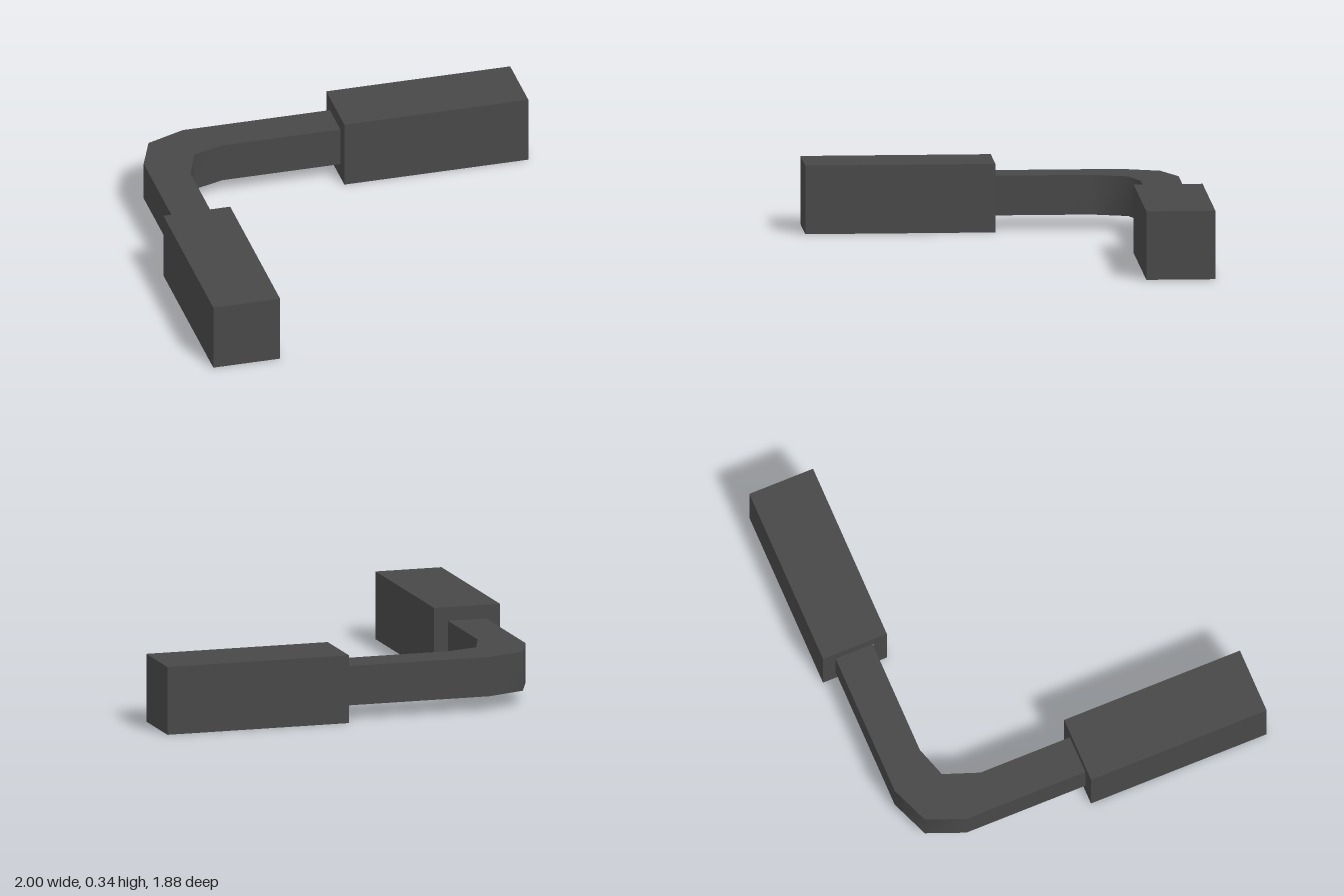
import * as THREE from 'three';

const W = 0.335, L = 0.923;            // housing width/height and length
const P0 = 0.073, P1 = 0.267, PH = 0.097; // duct bottom, top, half width

// Five-sided housing, open underneath, with a duct opening in its -z end
function makeHousing(name, mat) {
  const g = new THREE.Group();
  g.name = name;
  const add = (part, geo, x, y, z, rx = 0, ry = 0) => {
    const m = new THREE.Mesh(geo, mat);
    m.name = part;
    m.position.set(x, y, z);
    m.rotation.set(rx, ry, 0);
    g.add(m);
  };
  add('topPanel', new THREE.PlaneGeometry(W, L), 0, W, L / 2, -Math.PI / 2);
  for (const s of [-1, 1])
    add('sidePanel', new THREE.PlaneGeometry(L, W), s * W / 2, W / 2, L / 2, 0, s * Math.PI / 2);
  add('endPanel', new THREE.PlaneGeometry(W, W), 0, W / 2, L);

  const rect = (C, x, y0, y1) => new C([
    new THREE.Vector2(-x, y0), new THREE.Vector2(x, y0),
    new THREE.Vector2(x, y1), new THREE.Vector2(-x, y1)]);
  const collar = rect(THREE.Shape, W / 2, 0, W);
  collar.holes.push(rect(THREE.Path, PH, P0, P1));
  add('collarPanel', new THREE.ShapeGeometry(collar), 0, 0, 0, 0, Math.PI);
  return g;
}

// Bent rectangular duct, open at both ends; each wall is smooth along its length
function makeDuct(mat) {
  const outer = [[-0.93, 0.015], [-0.93, -0.61], [-0.855, -0.797], [-0.662, -0.874], [0.076, -0.874]];
  const inner = [[-0.736, 0.015], [-0.736, -0.455], [-0.671, -0.63], [-0.515, -0.68], [0.076, -0.68]];
  const pos = [], idx = [];
  const wall = (a, ya, b, yb) => {
    const base = pos.length / 3;
    a.forEach((p, i) => {
      pos.push(p[0], ya, p[1], b[i][0], yb, b[i][1]);
      if (i) {
        const k = base + 2 * i;
        idx.push(k - 2, k - 1, k, k - 1, k + 1, k);
      }
    });
  };
  wall(outer, P0, outer, P1);
  wall(outer, P1, inner, P1);
  wall(inner, P1, inner, P0);
  wall(inner, P0, outer, P0);
  const geo = new THREE.BufferGeometry();
  geo.setAttribute('position', new THREE.Float32BufferAttribute(pos, 3));
  // wind so that the walls face outward
  for (let i = 0; i < idx.length; i += 3) [idx[i + 1], idx[i + 2]] = [idx[i + 2], idx[i + 1]];
  geo.setIndex(idx);
  geo.computeVertexNormals();
  const m = new THREE.Mesh(geo, mat);
  m.name = 'bentDuct';
  return m;
}

export function createModel() {
  const model = new THREE.Group();
  model.name = 'cornerDuct';
  const mat = new THREE.MeshStandardMaterial({ color: 0x484848, side: THREE.DoubleSide });
  mat.name = 'darkGrey';

  const front = makeHousing('frontHousing', mat);
  front.position.set(-0.833, 0, 0.015);
  const side = makeHousing('sideHousing', mat);
  side.position.set(0.076, 0, -0.773);
  side.rotation.y = Math.PI / 2;

  model.add(front, side, makeDuct(mat));
  return model;
}
